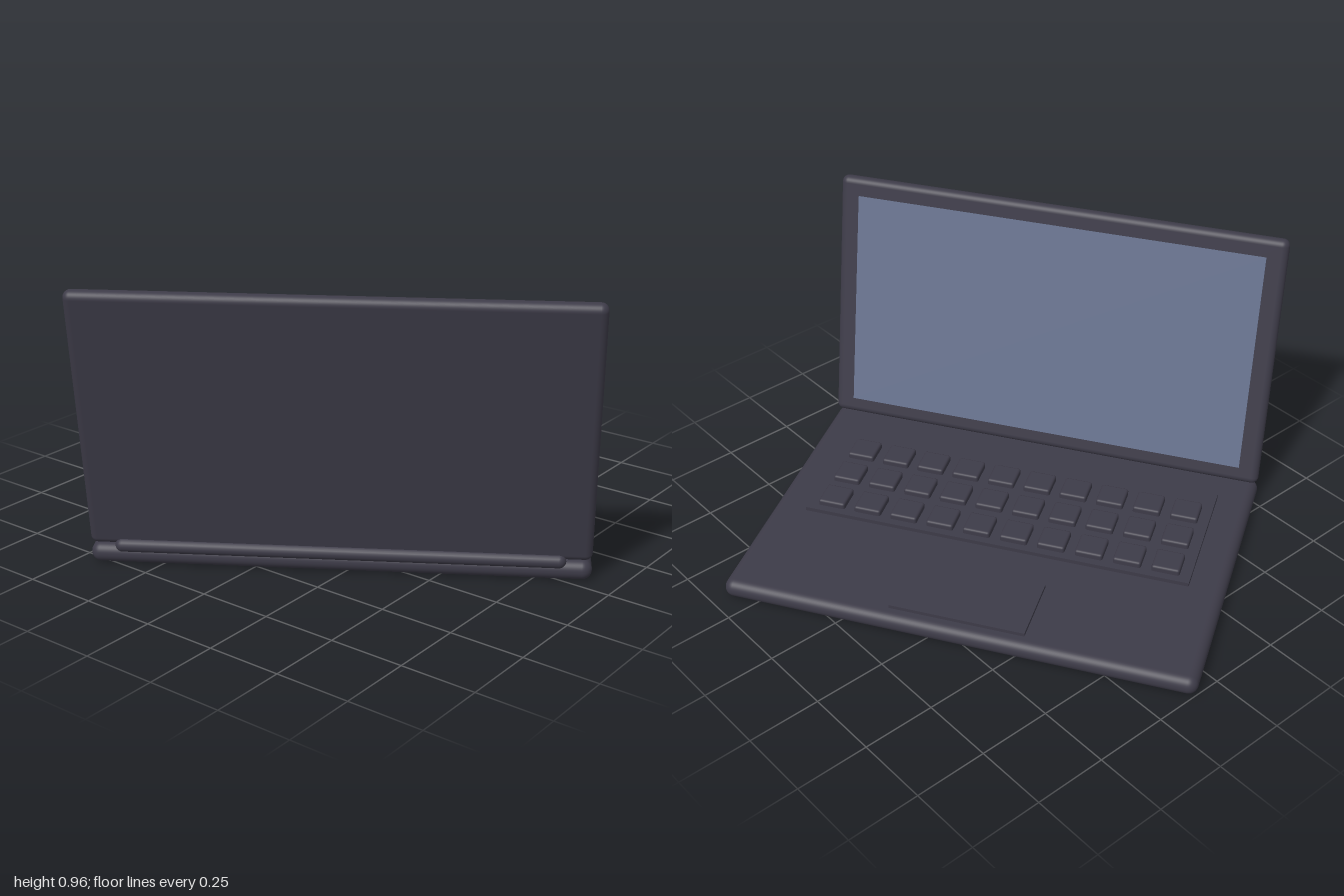
import * as THREE from 'three';
import { RoundedBoxGeometry } from 'three/addons/geometries/RoundedBoxGeometry.js';

export function createModel() {
  const model = new THREE.Group();
  model.name = 'laptop';
  const body = new THREE.MeshStandardMaterial({ color: 0x3d3b48 });
  body.name = 'charcoal';
  const glass = new THREE.MeshStandardMaterial({ color: 0x68738f });
  glass.name = 'screen blue';

  function add(parent, name, geometry, material, x, y, z) {
    const mesh = new THREE.Mesh(geometry, material);
    mesh.name = name;
    mesh.position.set(x, y, z);
    parent.add(mesh);
    return mesh;
  }

  // base slab, with the hinge along +z and the typing edge along -z
  add(model, 'base', new RoundedBoxGeometry(1.6, 0.066, 1.08, 5, 0.032), body, 0, 0.033, -0.09);

  // keyboard tray and trackpad, slightly raised
  add(model, 'keyboardTray', new THREE.BoxGeometry(1.36, 0.02, 0.49), body, 0, 0.07, 0.049);
  add(model, 'trackpad', new THREE.BoxGeometry(0.46, 0.016, 0.246), body, 0, 0.07, -0.459);

  // three rows of ten keys
  const keys = new THREE.Group();
  keys.name = 'keys';
  model.add(keys);
  const keyGeometry = new RoundedBoxGeometry(0.096, 0.03, 0.096, 2, 0.008);
  for (let row = 0; row < 3; row++) {
    for (let col = 0; col < 10; col++) {
      add(keys, 'key', keyGeometry, body, (col - 4.5) * 0.132, 0.086, -0.122 + row * 0.141);
    }
  }

  // hinge barrel
  const hinge = add(model, 'hinge', new THREE.CapsuleGeometry(0.023, 1.39, 6, 20), body, 0, 0.065, 0.437);
  hinge.rotation.z = Math.PI / 2;

  // lid, leaning back from the hinge
  const lid = new THREE.Group();
  lid.name = 'lid';
  lid.position.set(0, 0.068, 0.414);
  lid.rotation.x = THREE.MathUtils.degToRad(12);
  model.add(lid);
  add(lid, 'lidShell', new RoundedBoxGeometry(1.6, 0.91, 0.05, 5, 0.024), body, 0, 0.455, 0);
  add(lid, 'screen', new THREE.BoxGeometry(1.46, 0.785, 0.008), glass, 0, 0.452, -0.025);

  // the laptop stands turned on its base
  model.rotation.y = THREE.MathUtils.degToRad(32.1);
  return model;
}
